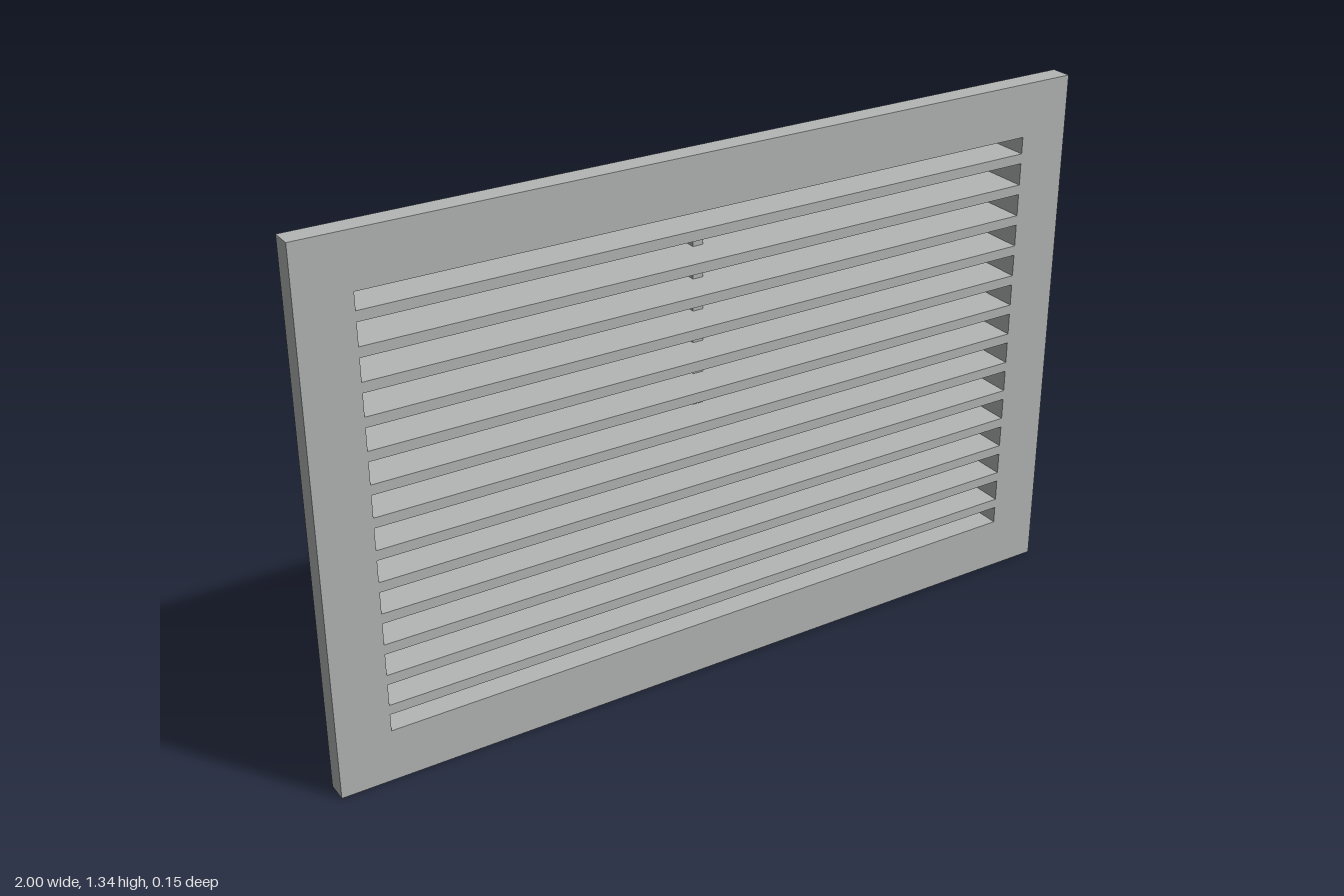
import * as THREE from 'three';

const HEIGHT = 1.335, MID = HEIGHT / 2;
const FRONT = 0.073, FLANGE_BACK = 0.02, BACK = -0.073;
const OPEN_X = 0.869, OPEN_Y = 0.534; // half sizes of the opening
const SLAT_BACK = -0.045;

// rectangular ring with the shared opening, between two depths
function ring(name, halfW, halfH, z0, z1, material) {
  const rect = (P, w, h) => new P([
    new THREE.Vector2(-w, -h), new THREE.Vector2(w, -h),
    new THREE.Vector2(w, h), new THREE.Vector2(-w, h),
  ]);
  const shape = rect(THREE.Shape, halfW, halfH);
  shape.holes.push(rect(THREE.Path, OPEN_X, OPEN_Y));
  const mesh = new THREE.Mesh(
    new THREE.ExtrudeGeometry(shape, { depth: z1 - z0, bevelEnabled: false }), material);
  mesh.position.set(0, MID, z0);
  mesh.name = name;
  return mesh;
}

function bar(name, w, h, y, z0, z1, material) {
  const mesh = new THREE.Mesh(new THREE.BoxGeometry(w, h, z1 - z0), material);
  mesh.position.set(0, y, (z0 + z1) / 2);
  mesh.name = name;
  return mesh;
}

export function createModel() {
  const grey = new THREE.MeshStandardMaterial({ color: 0xb3b6b4 });
  grey.name = 'light grey';
  const group = new THREE.Group();
  group.name = 'ventGrille';

  // front flange and the collar that fits into the wall
  group.add(ring('frontFlange', 1, MID, FLANGE_BACK, FRONT, grey));
  group.add(ring('rearCollar', 0.886, 0.552, BACK, FLANGE_BACK, grey));

  // horizontal slats, flush with the front face
  const slats = new THREE.Group();
  slats.name = 'slats';
  const count = 13, pitch = 0.0798;
  for (let i = 0; i < count; i++) {
    const y = MID + 0.001 + (i - (count - 1) / 2) * pitch;
    slats.add(bar('slat', OPEN_X * 2, 0.025, y, SLAT_BACK, FRONT, grey));
  }
  group.add(slats);

  // vertical centre brace along the rear edge of the slats
  group.add(bar('centreBrace', 0.027, OPEN_Y * 2, MID, SLAT_BACK - 0.0005, -0.018, grey));
  return group;
}
